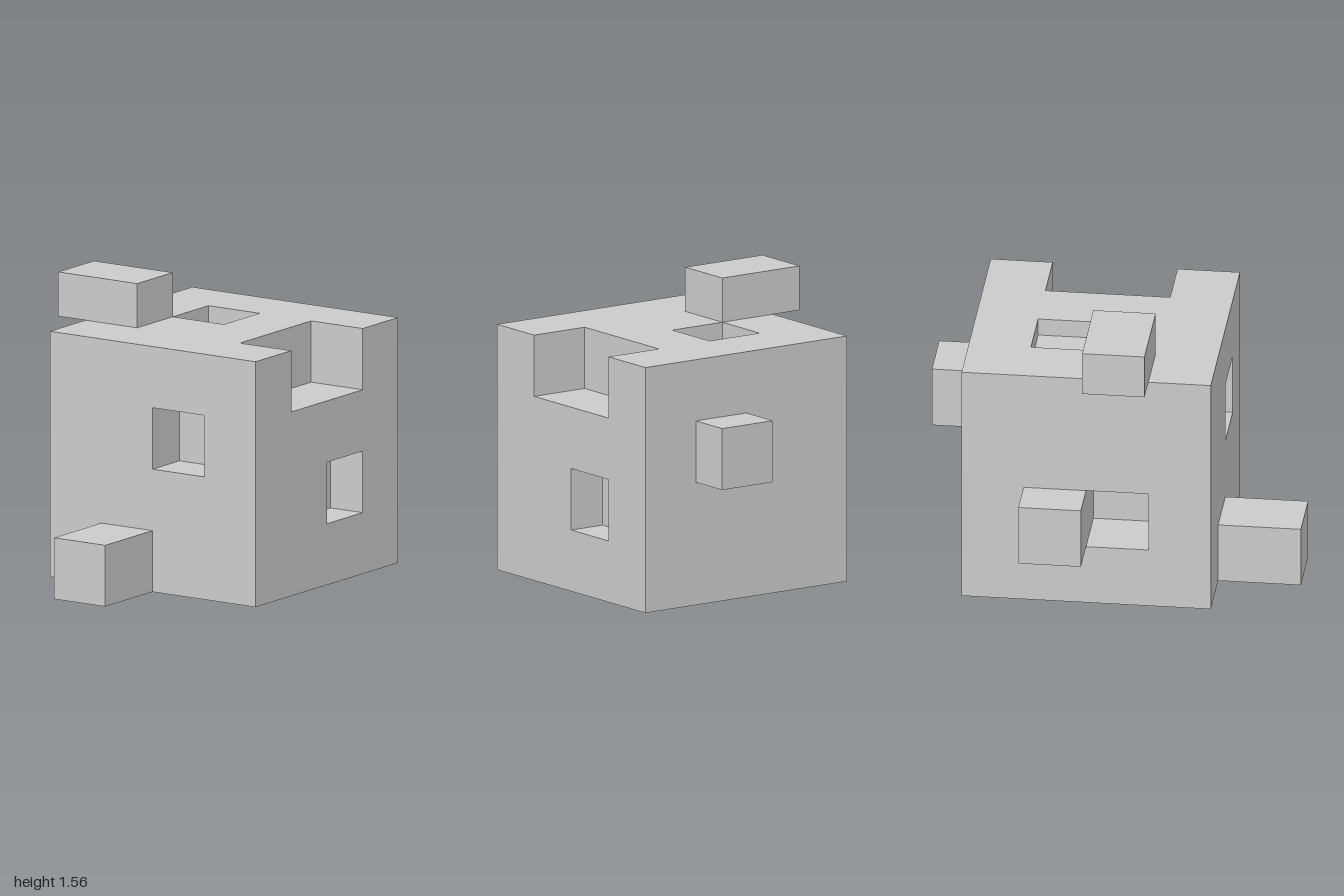
import * as THREE from 'three';

// Grid lines of the 4 x 4 x 4 cube
const X = [-0.545, -0.214, 0.114, 0.445, 0.775];
const Y = [0, 0.331, 0.663, 0.995, 1.326];
const Z = [-0.765, -0.435, -0.103, 0.228, 0.56];

// Each box is [x0, x1, y0, y1, z0, z1]
const CUBE = [X[0], X[4], Y[0], Y[4], Z[0], Z[4]];
const RECESSES = [
  [X[3], X[4], Y[3], Y[4], Z[1], Z[3]],          // notch in the top side edge
  [X[1], X[2], Y[4] - 0.095, Y[4], Z[1], Z[2]],  // top pocket
  [X[2], X[3], Y[2], Y[3], Z[4] - 0.25, Z[4]],   // front pocket
  [X[4] - 0.205, X[4], Y[1], Y[2], Z[1], Z[2]],  // side pocket
  [X[0], X[1], Y[1], Y[2], Z[2], Z[3]],          // pocket beside the side peg
  [X[1], X[3], 0, 0.163, Z[1], Z[3]],            // wide bottom recess
];
const PEGS = {
  backPeg: [X[2], X[3], Y[2], Y[3], -1, Z[0]],
  sidePeg: [-0.78, X[0], Y[1], Y[2], Z[1], Z[2]],
  frontPeg: [X[1], X[2], Y[0], Y[1], Z[4], 1],
  topBar: [-0.72, X[1], Y[4], 1.565, Z[2], Z[3]],
};

const inside = (b, p) => p.every((v, a) => v > b[2 * a] && v < b[2 * a + 1]);

// Skin of a box with smaller boxes cut away
function carvedBox(box, cuts) {
  const lines = [0, 1, 2].map((a) =>
    [...new Set([box, ...cuts].flatMap((b) => [b[2 * a], b[2 * a + 1]]))].sort((m, n) => m - n));
  const solid = (cell) => {
    if (cell.some((i, a) => i < 0 || i >= lines[a].length - 1)) return false;
    const mid = cell.map((i, a) => (lines[a][i] + lines[a][i + 1]) / 2);
    return inside(box, mid) && !cuts.some((c) => inside(c, mid));
  };
  const pos = [];
  const addFace = (cell, axis, side) => {
    const u = (axis + 1) % 3, v = (axis + 2) % 3;
    const corner = (du, dv) => {
      const p = [];
      p[axis] = lines[axis][cell[axis] + side];
      p[u] = lines[u][cell[u] + du];
      p[v] = lines[v][cell[v] + dv];
      return p;
    };
    const [a, b, c, d] = [corner(0, 0), corner(1, 0), corner(1, 1), corner(0, 1)];
    pos.push(...(side ? [a, b, c, a, c, d] : [a, c, b, a, d, c]).flat());
  };
  for (let i = 0; i < lines[0].length - 1; i++)
    for (let j = 0; j < lines[1].length - 1; j++)
      for (let k = 0; k < lines[2].length - 1; k++) {
        const cell = [i, j, k];
        if (!solid(cell)) continue;
        for (let axis = 0; axis < 3; axis++)
          for (const side of [0, 1]) {
            const next = [...cell];
            next[axis] += side ? 1 : -1;
            if (!solid(next)) addFace(cell, axis, side);
          }
      }
  const g = new THREE.BufferGeometry();
  g.setAttribute('position', new THREE.Float32BufferAttribute(pos, 3));
  g.computeVertexNormals();
  return g;
}

export function createModel() {
  const group = new THREE.Group();
  const material = new THREE.MeshStandardMaterial({ color: 0xcccccc, flatShading: true });

  const cube = new THREE.Mesh(carvedBox(CUBE, RECESSES), material);
  cube.name = 'carvedCube';
  group.add(cube);

  // Blocks standing out of the faces
  for (const [name, [x0, x1, y0, y1, z0, z1]] of Object.entries(PEGS)) {
    const peg = new THREE.Mesh(new THREE.BoxGeometry(x1 - x0, y1 - y0, z1 - z0), material);
    peg.position.set((x0 + x1) / 2, (y0 + y1) / 2, (z0 + z1) / 2);
    peg.name = name;
    group.add(peg);
  }
  return group;
}
